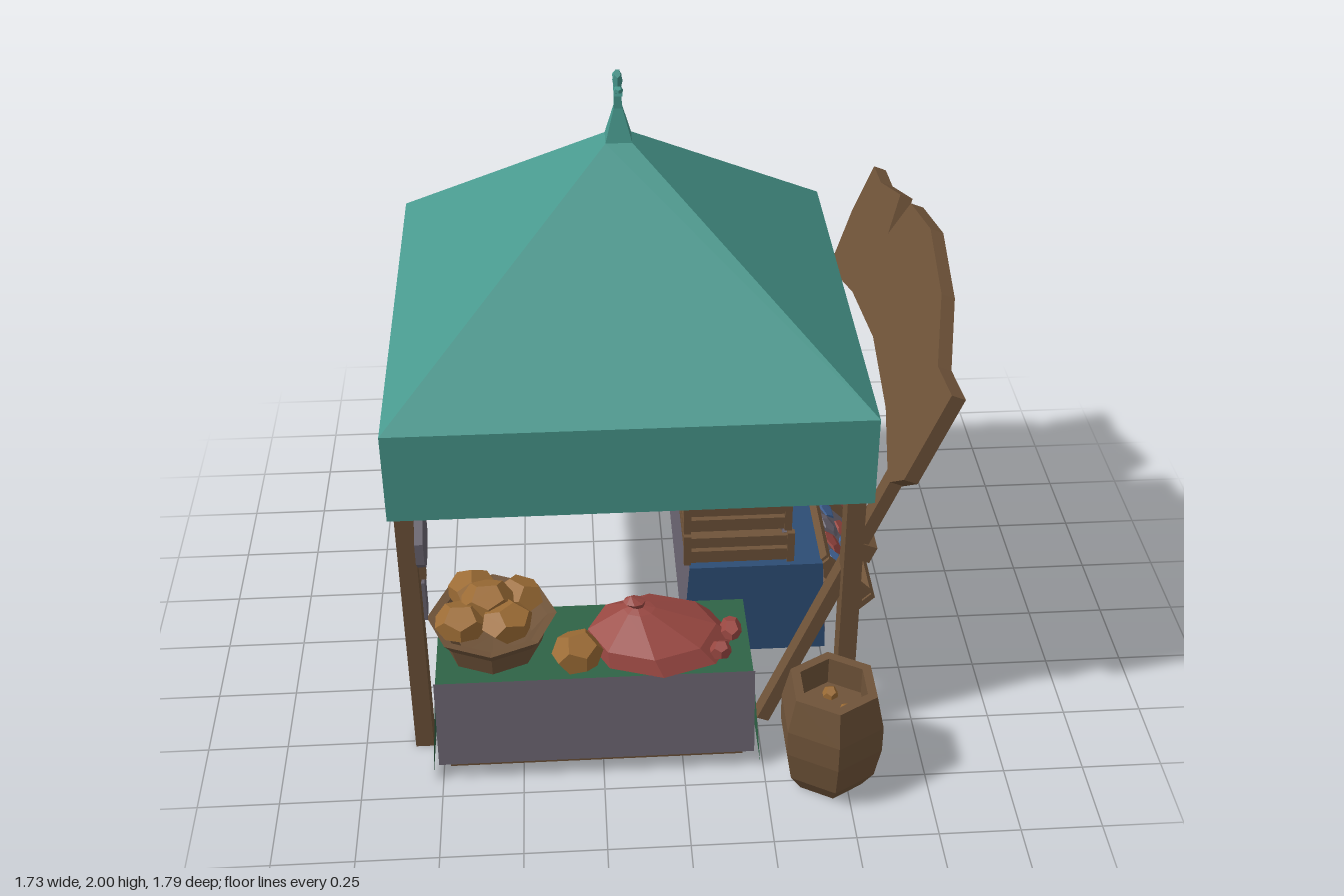
import * as THREE from 'three';

const mat = (name, color, double = false) => {
  const m = new THREE.MeshStandardMaterial({ color });
  m.name = name;
  if (double) m.side = THREE.DoubleSide;
  return m;
};

export function createModel() {
  const root = new THREE.Group();
  root.name = 'marketStall';
  const M = {
    teal: mat('tealCanvas', 0x48998e, true),
    wood: mat('wood', 0x6f5339, true),
    grey: mat('greyCloth', 0x6a6470, true),
    green: mat('greenCloth', 0x2f6346, true),
    blue: mat('blueCloth', 0x2d4d75, true),
    red: mat('redFood', 0x9a4842),
    bread: mat('bread', 0x9c6c35),
    paint: mat('signPaint', 0x87562a),
    sky: mat('brightBlue', 0x466aa0),
  };

  // helpers
  const add = (parent, name, geo, m, x = 0, y = 0, z = 0) => {
    const g = geo.index ? geo.toNonIndexed() : geo;
    g.computeVertexNormals();
    const mesh = new THREE.Mesh(g, m);
    mesh.name = name;
    mesh.position.set(x, y, z);
    parent.add(mesh);
    return mesh;
  };
  // box given by its limits on each axis
  const box = (parent, name, m, x0, x1, y0, y1, z0, z1) =>
    add(parent, name, new THREE.BoxGeometry(x1 - x0, y1 - y0, z1 - z0), m, (x0 + x1) / 2, (y0 + y1) / 2, (z0 + z1) / 2);
  const lathe = (parent, name, m, pts, sides, x, y, z) =>
    add(parent, name, new THREE.LatheGeometry(pts.map(p => new THREE.Vector2(...p)), sides), m, x, y, z);
  const quad = (parent, name, m, a, b, c, d) => {
    const g = new THREE.BufferGeometry();
    g.setAttribute('position', new THREE.Float32BufferAttribute([a, b, c, a, c, d].flat(), 3));
    return add(parent, name, g, m);
  };
  const lump = (parent, name, m, x, y, z, sx, sy, sz, turn = 0) => {
    const mesh = add(parent, name, new THREE.DodecahedronGeometry(1), m, x, y, z);
    mesh.scale.set(sx, sy, sz);
    mesh.rotation.y = turn;
    return mesh;
  };
  const group = (name, x = 0, y = 0, z = 0) => {
    const g = new THREE.Group();
    g.name = name;
    g.position.set(x, y, z);
    root.add(g);
    return g;
  };

  // canopy: valance, pyramid and spire on a square plan
  const CX = -0.145, CZ = -0.165, D = Math.SQRT2;
  const roof = group('canopy', CX, 0, CZ);
  lathe(roof, 'roof', M.teal, [[0.715 * D, 0.915], [0.715 * D, 1.21], [0.04 * D, 1.78], [0.013 * D, 1.88], [0.01 * D, 1.93], [0, 1.94]], 4, 0, 0, 0)
    .rotation.y = Math.PI / 4;
  lump(roof, 'finialTop', M.teal, 0, 1.965, 0, 0.016, 0.036, 0.018);
  for (const s of [-1, 1]) {
    const arm = box(roof, 'finialArm', M.teal, -0.012, 0.012, 1.928, 1.952, s * 0.03 - 0.03, s * 0.03 + 0.03);
    arm.rotation.x = -s * 0.4;
    lump(roof, 'finialTip', M.teal, 0, 1.958, s * 0.056, 0.015, 0.012, 0.016);
  }

  // corner posts
  for (const x of [-0.815, 0.522]) for (const z of [0.485, -0.815])
    box(root, 'post', M.wood, x - 0.028, x + 0.028, 0, 0.96, z - 0.04, z + 0.04);

  // leaning signboard on two struts
  const sign = group('signboard', 0.615, 0.915, 0);
  sign.rotation.z = -0.385;
  const flat = pts => new THREE.Shape(pts.map(([z, y]) => new THREE.Vector2(-z, (y - 0.915) / Math.cos(0.385))));
  const board = flat([[0.556, 1.0], [0.47, 0.93], [0.43, 0.94], [0.19, 1.01], [-0.17, 1.045], [-0.52, 1.01], [-0.76, 0.95],
    [-0.84, 0.93], [-0.894, 1.13], [-0.894, 1.295], [-0.76, 1.3], [-0.54, 1.365], [-0.476, 1.255], [-0.42, 1.395],
    [-0.17, 1.435], [0.148, 1.385], [0.376, 1.275], [0.556, 1.29]]);
  add(sign, 'board', new THREE.ExtrudeGeometry(board, { depth: 0.045, bevelEnabled: false }), M.wood).rotation.y = Math.PI / 2;
  const bird = flat([[-0.02, 1.335], [-0.04, 1.36], [-0.08, 1.345], [-0.1, 1.27], [-0.14, 1.225], [-0.21, 1.235], [-0.26, 1.285],
    [-0.31, 1.26], [-0.37, 1.26], [-0.385, 1.22], [-0.34, 1.14], [-0.26, 1.095], [-0.15, 1.09], [-0.06, 1.15], [-0.035, 1.22], [-0.05, 1.3]]);
  add(sign, 'birdPainting', new THREE.ExtrudeGeometry(bird, { depth: 0.005, bevelEnabled: false }), M.paint, 0.0445).rotation.y = Math.PI / 2;
  for (const z of [0.45, -0.8]) {
    box(sign, 'strut', M.wood, 0, 0.04, -0.97, 0.12, z - 0.03, z + 0.03);
    box(sign, 'strutPeg', M.wood, -0.01, 0.07, -0.27, -0.21, z - 0.06, z + 0.035);
  }

  // front counter with grey front and green ends
  const front = group('frontCounter');
  box(front, 'base', M.wood, -0.73, 0.19, 0, 0.07, 0.32, 0.62);
  box(front, 'body', M.grey, -0.75, 0.21, 0.065, 0.35, 0.3, 0.635);
  box(front, 'greenTop', M.green, -0.755, 0.215, 0.35, 0.36, 0.295, 0.64);
  quad(front, 'greyDrape', M.grey, [-0.76, 0.065, 0.68], [0.22, 0.065, 0.68], [0.22, 0.362, 0.642], [-0.76, 0.362, 0.642]);
  for (const [a, b] of [[-0.755, -0.78], [0.215, 0.24]])
    quad(front, 'greenDrape', M.green, [b, 0.015, 0.68], [b, 0.015, 0.29], [a, 0.36, 0.295], [a, 0.36, 0.64]);

  // side counter with blue ends
  const side = group('sideCounter');
  box(side, 'base', M.wood, 0.08, 0.47, 0, 0.07, -0.71, 0.11);
  box(side, 'body', M.grey, 0.06, 0.49, 0.065, 0.35, -0.725, 0.125);
  box(side, 'blueTop', M.blue, 0.055, 0.495, 0.35, 0.36, -0.73, 0.13);
  quad(side, 'outerDrape', M.grey, [0.515, 0.065, 0.14], [0.515, 0.065, -0.74], [0.495, 0.36, -0.74], [0.495, 0.36, 0.14]);
  quad(side, 'innerDrape', M.grey, [0.035, 0.065, -0.74], [0.035, 0.065, 0.14], [0.055, 0.36, 0.13], [0.055, 0.36, -0.73]);
  for (const [a, b] of [[0.13, 0.145], [-0.73, -0.745]])
    quad(side, 'blueDrape', M.blue, [0.03, 0.015, b], [0.515, 0.015, b], [0.495, 0.36, a], [0.055, 0.36, a]);

  // sloping display tray on brackets; local x runs down the slope
  const tray = group('displayTray', 0.565, 0.265, -0.3);
  tray.rotation.z = -0.8;
  box(tray, 'trayFloor', M.wood, -0.11, 0.11, -0.02, 0, -0.43, 0.43);
  box(tray, 'trayLip', M.wood, 0.1, 0.12, -0.03, 0.04, -0.43, 0.43);
  box(tray, 'trayBack', M.wood, -0.12, -0.1, -0.02, 0.04, -0.41, 0.41);
  for (const z of [-0.41, 0, 0.41]) box(tray, 'trayDivider', M.wood, -0.11, 0.11, 0, 0.04, z - 0.012, z + 0.012);
  box(tray, 'redCuts', M.red, -0.09, 0.09, 0, 0.025, -0.385, -0.025);
  box(tray, 'greyIce', M.grey, -0.09, 0.09, 0, 0.02, 0.025, 0.385);
  lump(tray, 'redKnob', M.red, 0.06, 0.045, -0.23, 0.03, 0.03, 0.03);
  lump(tray, 'redJoint', M.red, -0.01, 0.025, -0.2, 0.06, 0.03, 0.13);
  for (let i = 0; i < 7; i++)
    lump(tray, 'fish', [M.sky, M.red, M.grey][i % 3], i % 2 ? 0.045 : -0.04, 0.02, 0.06 + i * 0.048, 0.05, 0.015, 0.045, i * 1.3);
  for (const z of [-0.09, -0.53]) {
    const b = box(side, 'trayBracket', M.wood, 0.5, 0.64, 0.105, 0.14, z - 0.022, z + 0.022);
    b.rotation.z = 0.6;
    box(side, 'bracketFoot', M.wood, 0.5, 0.53, 0.06, 0.19, z - 0.022, z + 0.022);
  }

  // slatted crates with bread
  const crate = (x0, x1, y0, h, z0, z1) => {
    const g = group('crate');
    box(g, 'crateFloor', M.wood, x0, x1, y0, y0 + 0.012, z0, z1);
    for (const x of [x0, x1]) for (const z of [z0, z1])
      box(g, 'cratePost', M.wood, x - 0.012, x + 0.012, y0, y0 + h, z - 0.012, z + 0.012);
    for (const f of [0.28, 0.75]) {
      const y = y0 + h * f, t = h * 0.17;
      for (const x of [x0, x1]) box(g, 'crateSlat', M.wood, x - 0.008, x + 0.008, y - t, y + t, z0, z1);
      for (const z of [z0, z1]) box(g, 'crateSlat', M.wood, x0, x1, y - t, y + t, z - 0.008, z + 0.008);
    }
    return g;
  };
  const low = crate(0.05, 0.39, 0.36, 0.115, -0.43, 0.1);
  const high = crate(0.05, 0.38, 0.48, 0.115, -0.14, 0.09);
  for (let i = 0; i < 6; i++)
    lump(low, 'roll', M.bread, i % 2 ? 0.3 : 0.14, 0.44, -0.2 - Math.floor(i / 2) * 0.08, 0.06, 0.045, 0.04, i);
  for (let i = 0; i < 4; i++)
    lump(high, 'bun', i === 1 ? M.grey : M.bread, i % 2 ? 0.29 : 0.12, 0.56, i < 2 ? 0.03 : -0.08, 0.05, 0.05, 0.045, i);
  for (const z of [0.05, -0.03, -0.1]) box(low, 'greyParcel', M.grey, 0.37, 0.4, 0.4, 0.45, z - 0.02, z + 0.02);

  // cloth basket
  const basket = group('clothBasket', 0.27, 0.36, -0.58);
  lathe(basket, 'basketWall', M.wood, [[0, 0], [0.11, 0], [0.135, 0.1], [0.19, 0.24], [0.17, 0.23], [0.1, 0.06]], 8, 0, 0, 0).scale.x = 0.85;
  lump(basket, 'greenBundle', M.green, 0.02, 0.19, -0.04, 0.13, 0.08, 0.13);
  lump(basket, 'greyBundle', M.grey, 0.05, 0.17, 0.06, 0.11, 0.08, 0.08, 0.5);
  lump(basket, 'blueBundle', M.sky, 0.09, 0.14, -0.02, 0.07, 0.07, 0.06, 1);
  lump(basket, 'greyFold', M.grey, -0.06, 0.19, 0.0, 0.08, 0.07, 0.07, 2);

  // bread bowl and loaf
  const bowl = group('breadBowl', -0.58, 0.36, 0.455);
  lathe(bowl, 'bowl', M.wood, [[0, 0], [0.15, 0], [0.17, 0.07], [0.2, 0.11], [0.17, 0.105], [0.12, 0.04], [0, 0.03]], 8, 0, 0, 0);
  [[-0.09, 0.14, 0.06], [0.05, 0.15, 0.08], [-0.06, 0.14, -0.09], [0.08, 0.13, -0.06], [-0.01, 0.17, 0]].forEach(([x, y, z], i) =>
    lump(bowl, 'loaf', M.bread, x, y, z, 0.085, 0.058, 0.08, i * 0.8));
  lump(root, 'counterLoaf', M.bread, -0.32, 0.425, 0.59, 0.08, 0.07, 0.075, 0.4);

  // red roast
  const roast = group('roast', -0.06, 0.36, 0.47);
  const mound = lathe(roast, 'roastBody', M.red, [[0.23, 0], [0.2, 0.05], [0.05, 0.125], [0.02, 0.135], [0.035, 0.155], [0, 0.175]], 8, 0, 0, 0);
  mound.scale.z = 0.8;
  // lean the peak sideways
  const p = mound.geometry.attributes.position;
  for (let i = 0; i < p.count; i++) p.setX(i, p.getX(i) - p.getY(i) * 0.52);
  mound.geometry.computeVertexNormals();
  lump(roast, 'roastKnob', M.red, 0.18, 0.03, 0.1, 0.035, 0.035, 0.03);
  lump(roast, 'roastEnd', M.red, 0.22, 0.03, 0.0, 0.035, 0.03, 0.05);

  // open hexagonal barrel
  const barrel = group('barrel', 0.45, 0, 0.725);
  lathe(barrel, 'barrelBody', M.wood, [[0, 0], [0.11, 0], [0.148, 0.06], [0.168, 0.17], [0.168, 0.26], [0.142, 0.375], [0.11, 0.375], [0.11, 0.28], [0, 0.28]], 6, 0, 0, 0);
  for (const [x, z] of [[-0.04, 0.04], [0.04, 0.03], [0, -0.05]]) lump(barrel, 'barrelFood', M.bread, x, 0.285, z, 0.025, 0.03, 0.025);

  // hanging pan and cleaver on the front post
  const pan = add(root, 'pan', new THREE.CylinderGeometry(0.095, 0.095, 0.025, 8), M.grey, -0.77, 0.825, 0.51);
  pan.rotation.set(0, Math.PI / 8, Math.PI / 2, 'ZYX');
  box(root, 'cleaver', M.grey, -0.775, -0.765, 0.56, 0.7, 0.515, 0.575);
  box(root, 'cleaverHandle', M.wood, -0.78, -0.76, 0.7, 0.75, 0.535, 0.555);
  return root;
}
